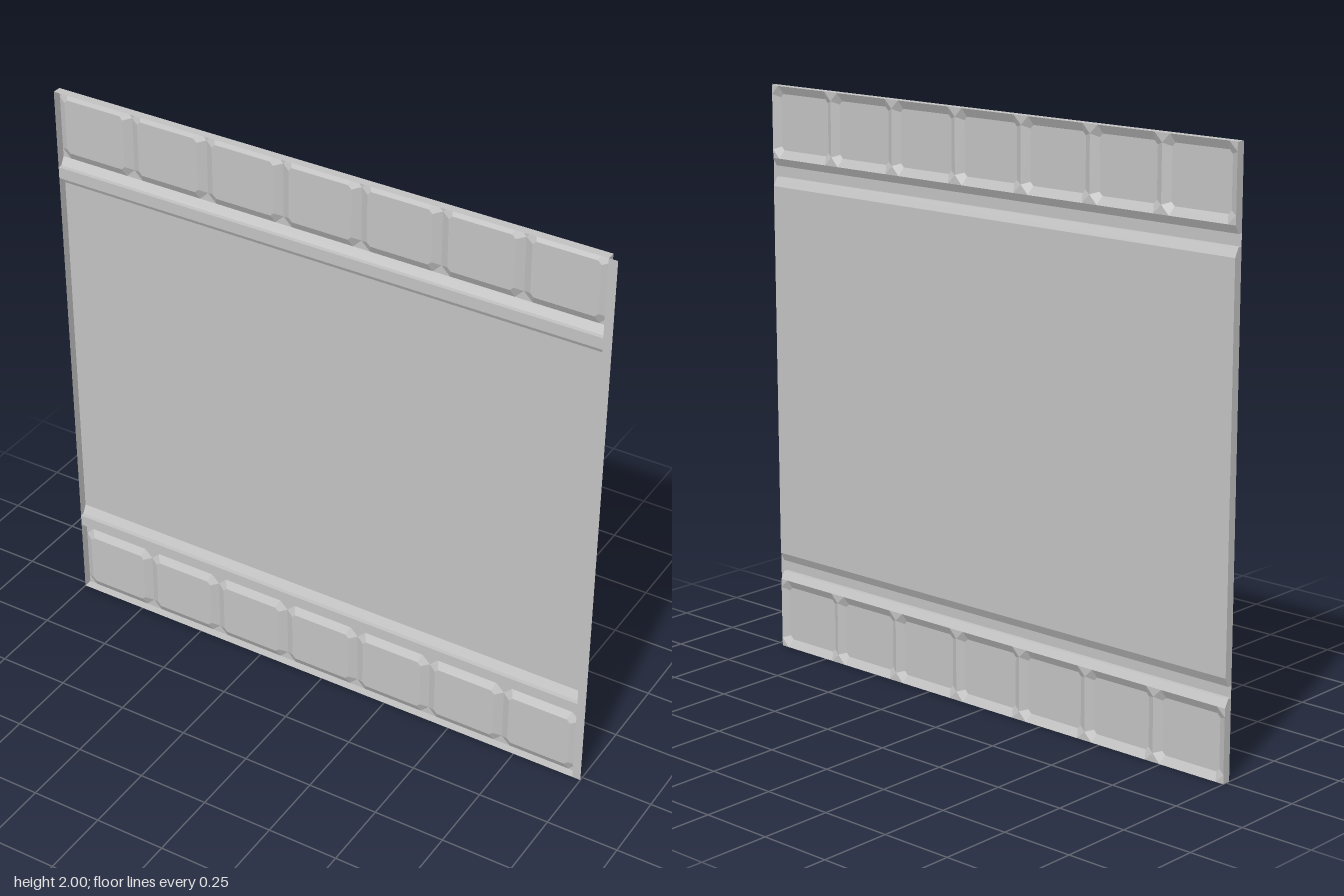
import * as THREE from 'three';

const L = -1, R = 0.97;               // recess ends
const FRONT = 0.015, MID = 0, BACK = -0.015;

const grey = new THREE.MeshStandardMaterial({ color: 0xc2c2c2, side: THREE.DoubleSide });
grey.name = 'panel grey';

// Flat-shaded sheet from convex polygons
function sheet(name, polygons) {
  const pos = [];
  for (const p of polygons)
    for (let i = 1; i < p.length - 1; i++) pos.push(...p[0], ...p[i], ...p[i + 1]);
  const geo = new THREE.BufferGeometry();
  geo.setAttribute('position', new THREE.Float32BufferAttribute(pos, 3));
  geo.computeVertexNormals();
  const mesh = new THREE.Mesh(geo, grey);
  mesh.name = name;
  return mesh;
}

// Quad strips along x following a [y, z] profile
function sweep(profile) {
  const out = [];
  for (let i = 0; i < profile.length - 1; i++) {
    const [y0, z0] = profile[i], [y1, z1] = profile[i + 1];
    out.push([[L, y0, z0], [R, y0, z0], [R, y1, z1], [L, y1, z1]]);
  }
  return out;
}

// Walls closing the two ends of a profile
const endWalls = (profile) => [L, R].map((x) => profile.map(([y, z]) => [x, y, z]));

// Rectangle with cut corners, counter-clockwise
function octagon(x0, x1, y0, y1, c, z) {
  return [
    [x0 + c, y0, z], [x1 - c, y0, z], [x1, y0 + c, z], [x1, y1 - c, z],
    [x1 - c, y1, z], [x0 + c, y1, z], [x0, y1 - c, z], [x0, y0 + c, z],
  ];
}

// Bevelled tile with the small floor triangles at its corners
function tile(x0, x1, y0, y1) {
  const b = 0.028;
  const outer = octagon(x0, x1, y0, y1, 0.03, BACK);
  const inner = octagon(x0 + b, x1 - b, y0 + b, y1 - b, 0.012, MID);
  const polys = [inner];
  for (let i = 0; i < 8; i++) {
    const j = (i + 1) % 8;
    polys.push([outer[i], outer[j], inner[j], inner[i]]);
  }
  [[x1, y0, 1], [x1, y1, 3], [x0, y1, 5], [x0, y0, 7]].forEach(([x, y, i]) => {
    polys.push([outer[i], [x, y, BACK], outer[(i + 1) % 8]]);
  });
  return sheet('tile', polys);
}

export function createModel() {
  const group = new THREE.Group();
  group.name = 'wallPanel';

  // Recessed centre panel
  const centre = [
    [0.315, FRONT], [0.315, MID], [0.345, BACK],
    [1.655, BACK], [1.685, MID], [1.685, FRONT],
  ];
  group.add(sheet('centrePanel', [...sweep(centre), ...endWalls(centre)]));

  // Upper and lower tile bands, mirrored about mid height
  for (const top of [true, false]) {
    const m = (y) => (top ? y : 2 - y);
    const name = top ? 'upper' : 'lower';
    const rim = [[1.725, FRONT], [1.725, MID], [1.752, BACK]].map(([y, z]) => [m(y), z]);
    const edge = [[m(2), BACK], [m(2), FRONT]];
    group.add(sheet(name + 'BandRim',
      [...sweep(rim), ...sweep(edge), ...endWalls([...rim, ...edge])]));

    const tiles = new THREE.Group();
    tiles.name = name + 'Tiles';
    const w = (R - L) / 7;
    const y0 = top ? 1.752 : 0, y1 = top ? 2 : 0.248;
    for (let i = 0; i < 7; i++) tiles.add(tile(L + i * w, L + (i + 1) * w, y0, y1));
    group.add(tiles);

    // Flat rail between the band and the centre panel
    group.add(sheet(name + 'Rail', sweep([[m(1.685), FRONT], [m(1.725), FRONT]])));
  }

  // Flat strip along the left side
  group.add(sheet('sideStrip', [[[R, 0, FRONT], [1, 0, FRONT], [1, 2, FRONT], [R, 2, FRONT]]]));
  return group;
}
